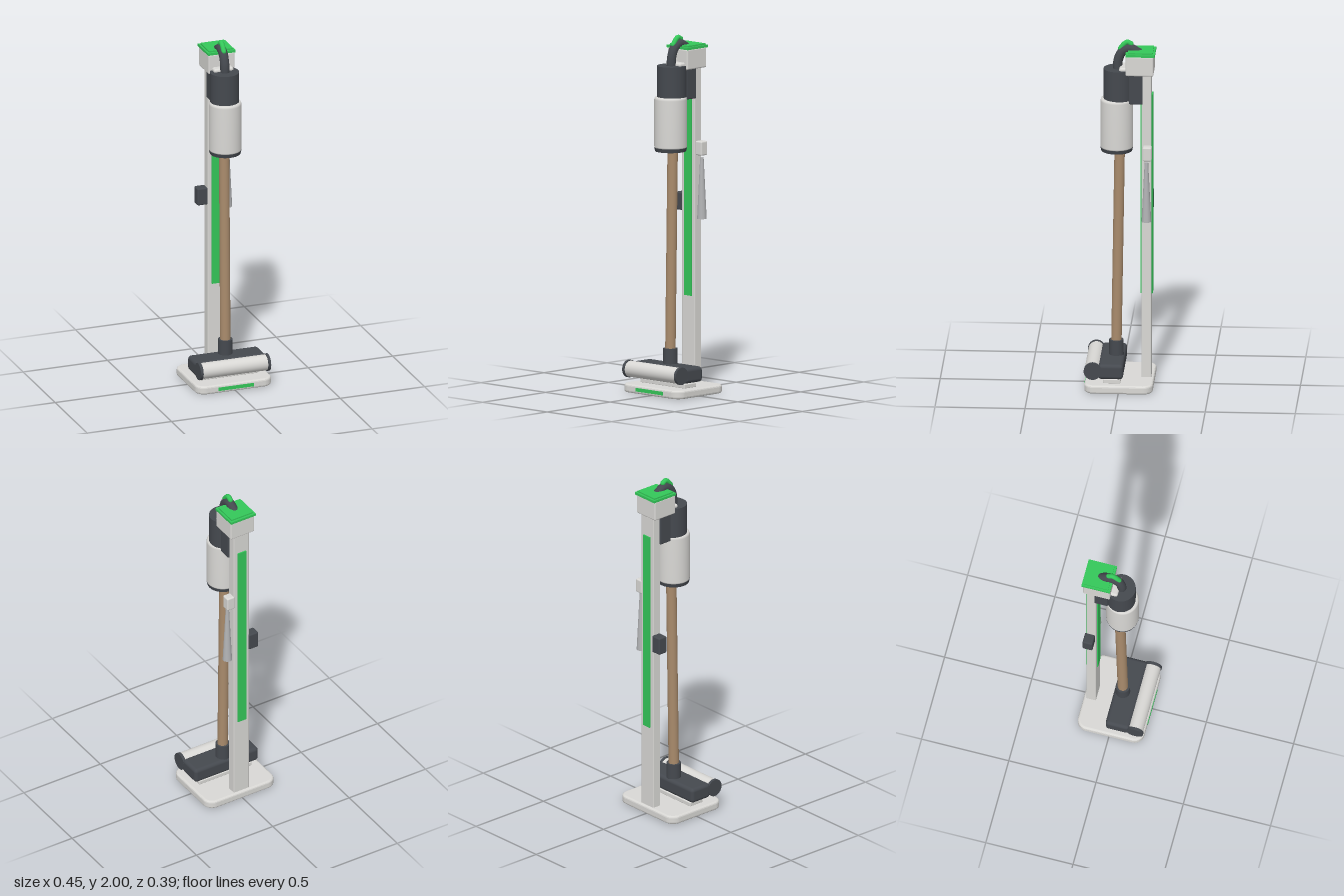
import * as THREE from 'three';
import { RoundedBoxGeometry } from 'three/addons/geometries/RoundedBoxGeometry.js';

const material = (name, color) => {
  const m = new THREE.MeshStandardMaterial({ color });
  m.name = name;
  return m;
};

export function createModel() {
  const light = material('light grey', 0xd9d8d5);
  const mid = material('mid grey', 0xb4b5b7);
  const dark = material('charcoal', 0x45494f);
  const green = material('green', 0x34c759);
  const bronze = material('bronze', 0xa98b6c);

  const model = new THREE.Group();
  model.name = 'cordlessVacuumOnStand';

  const add = (name, geometry, mat, x = 0, y = 0, z = 0) => {
    const mesh = new THREE.Mesh(geometry, mat);
    mesh.name = name;
    mesh.position.set(x, y, z);
    model.add(mesh);
    return mesh;
  };
  // Box given by its extents; r > 0 rounds the edges
  const box = (name, mat, [x0, x1], [y0, y1], [z0, z1], r = 0) => {
    const size = [x1 - x0, y1 - y0, z1 - z0];
    const g = r ? new RoundedBoxGeometry(...size, 3, r) : new THREE.BoxGeometry(...size);
    return add(name, g, mat, (x0 + x1) / 2, (y0 + y1) / 2, (z0 + z1) / 2);
  };
  // Upright cylinder between two heights
  const cylinder = (name, mat, rTop, rBottom, y0, y1, x, z, sides = 32) =>
    add(name, new THREE.CylinderGeometry(rTop, rBottom, y1 - y0, sides), mat, x, (y0 + y1) / 2, z);
  // Tube through [z, y] points in the centre plane, with rounded ends
  const tube = (name, mat, points, r) => {
    const pts = points.map(([z, y]) => new THREE.Vector3(0, y, z));
    add(name, new THREE.TubeGeometry(new THREE.CatmullRomCurve3(pts), 24, r, 12), mat);
    for (const p of [pts[0], pts[pts.length - 1]])
      add(name + 'End', new THREE.SphereGeometry(r, 12, 8), mat, p.x, p.y, p.z);
  };

  // Base plate: rounded outline with softened edges
  const w = 0.213, d = 0.178, c = 0.045, b = 0.012;
  const outline = new THREE.Shape();
  outline.moveTo(-w + c, -d);
  outline.absarc(w - c, -d + c, c, -Math.PI / 2, 0);
  outline.absarc(w - c, d - c, c, 0, Math.PI / 2);
  outline.absarc(-w + c, d - c, c, Math.PI / 2, Math.PI);
  outline.absarc(-w + c, -d + c, c, Math.PI, Math.PI * 1.5);
  const baseGeometry = new THREE.ExtrudeGeometry(outline, {
    depth: 0.024, bevelThickness: b, bevelSize: b, bevelSegments: 3, curveSegments: 8,
  });
  baseGeometry.rotateX(-Math.PI / 2);
  add('basePlate', baseGeometry, light, 0, b, 0);
  box('baseAccent', green, [-0.105, 0.105], [0.014, 0.034], [0.184, 0.192]);
  box('dockPad', light, [-0.172, 0.172], [0.045, 0.072], [-0.01, 0.087], 0.006);

  // Stand post with a strip on both faces
  box('post', light, [-0.05, 0.05], [0.04, 1.83], [-0.174, -0.12], 0.005);
  box('backStrip', green, [-0.027, 0.027], [0.53, 1.69], [-0.181, -0.173]);
  box('frontStrip', green, [-0.027, 0.027], [0.53, 1.69], [-0.121, -0.114]);

  // Dock head and its cover
  box('dockHead', light, [-0.078, 0.078], [1.81, 1.924], [-0.187, -0.033], 0.008);
  box('dockCover', green, [-0.081, 0.081], [1.922, 1.936], [-0.195, -0.032]);
  box('dockCoverTop', green, [-0.07, 0.07], [1.936, 1.944], [-0.183, -0.045]);
  box('cradle', light, [-0.058, 0.058], [1.8, 1.85], [-0.1, 0.005], 0.012);
  box('battery', dark, [-0.058, 0.058], [1.64, 1.83], [-0.127, -0.05], 0.006);

  // Vacuum body: motor above the dust bin
  cylinder('motorHousing', dark, 0.081, 0.081, 1.64, 1.833, 0, 0.012, 40);
  const bin = [[0, 1.375], [0.089, 1.375], [0.091, 1.382], [0.091, 1.645], [0.087, 1.657], [0.078, 1.66], [0, 1.66]];
  add('dustBin', new THREE.LatheGeometry(bin.map(([r, y]) => new THREE.Vector2(r, y)), 40), light, 0, 0, 0.02);
  cylinder('binLid', dark, 0.091, 0.086, 1.355, 1.376, 0, 0.02, 40);

  // Handle curving back over the dock, with the trigger loop on top
  tube('handle', dark, [[0.015, 1.8], [0.012, 1.88], [-0.012, 1.932], [-0.052, 1.95], [-0.102, 1.925]], 0.026);
  tube('trigger', green, [[0.0, 1.948], [-0.022, 1.976], [-0.04, 1.986], [-0.06, 1.976]], 0.014);

  // Wand leaning slightly between bin and floor head
  const wand = cylinder('wand', bronze, 0.029, 0.029, 0.22, 1.38, 0, 0.013, 24);
  wand.rotation.x = -0.016;
  cylinder('wandSocket', dark, 0.04, 0.041, 0.14, 0.25, 0, 0.022, 24);

  // Floor head with roller and end caps
  box('floorHead', dark, [-0.208, 0.208], [0.079, 0.165], [-0.026, 0.112], 0.02);
  const across = (name, mat, r, length, x) => {
    cylinder(name, mat, r, r, 0, length, x, 0.143, 32).rotation.z = Math.PI / 2;
    model.children[model.children.length - 1].position.y = 0.127;
  };
  across('roller', light, 0.045, 0.39, 0);
  for (const side of [-1, 1]) across('rollerCap', dark, 0.049, 0.016, side * 0.2);

  // Accessories clipped to the post
  box('nozzleClip', light, [0.045, 0.094], [1.32, 1.4], [-0.178, -0.128], 0.008);
  cylinder('creviceNozzle', mid, 0.01, 0.027, 0.965, 1.31, 0.077, -0.149, 10);
  box('accessoryHook', dark, [-0.108, -0.045], [1.0, 1.1], [-0.182, -0.125], 0.008);

  return model;
}
